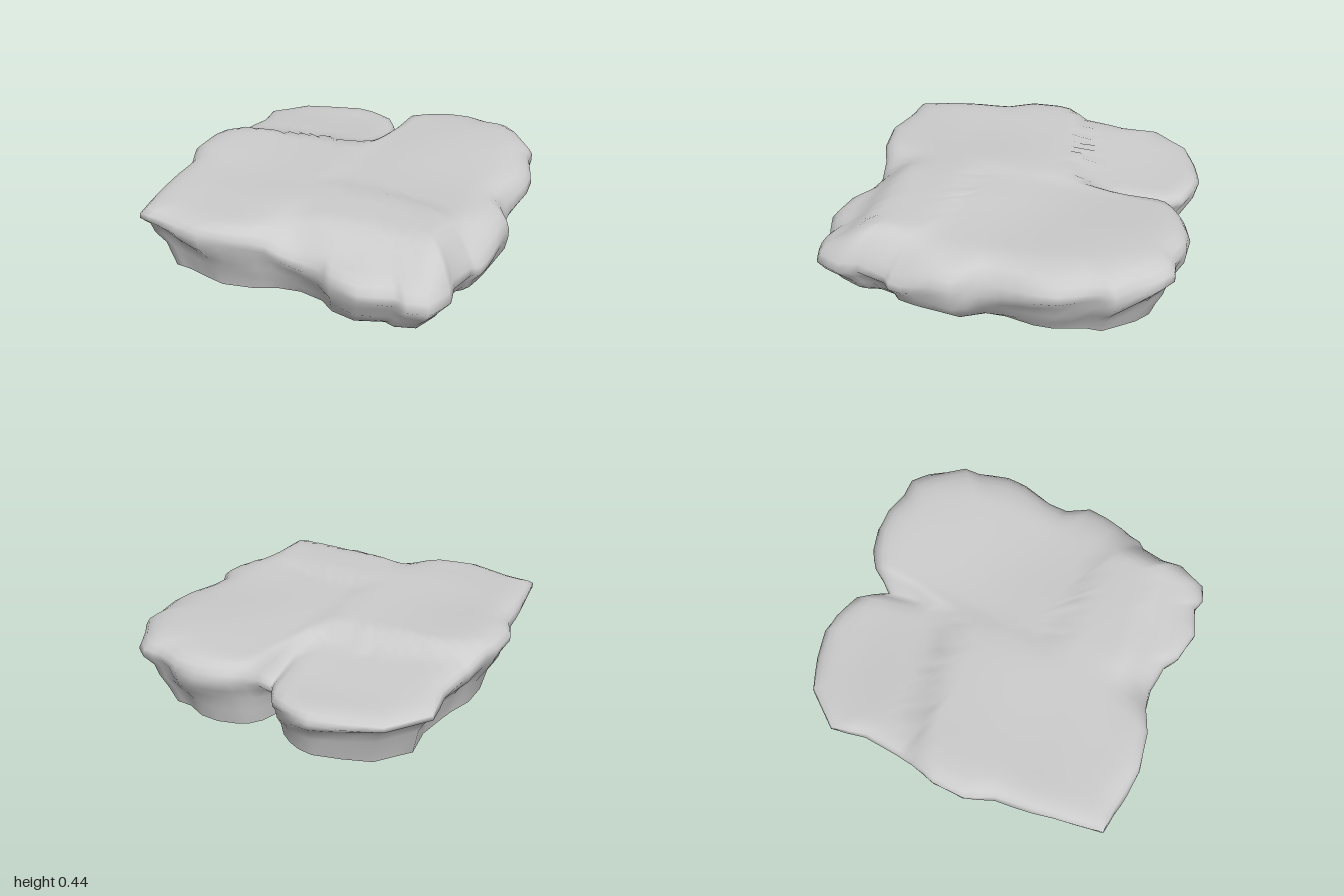
import * as THREE from 'three';

// Widest outline of the slab (x, z), clockwise seen from above, starting at the rear cleft
const OUTLINE = [
  -0.03, -0.82, 0.06, -0.9, 0.17, -0.96, 0.3, -1, 0.43, -1, 0.56, -0.95, 0.67, -0.95, 0.76, -0.88,
  0.9, -0.7, 0.9, -0.6, 0.95, -0.42, 0.95, -0.3, 0.91, -0.12, 0.91, 0, 0.98, 0.13, 0.95, 0.35,
  0.92, 0.48, 0.88, 0.52, 0.84, 0.68, 0.86, 0.79, 0.8, 0.93, 0.7, 0.96, 0.63, 0.94, 0.46, 1,
  0.3, 0.97, 0.2, 0.9, 0.04, 0.87, -0.1, 0.89, -0.24, 0.95, -0.45, 0.99, -0.6, 0.96, -0.72, 0.93,
  -0.84, 0.92, -0.87, 0.78, -0.9, 0.53, -0.91, 0.32, -0.98, 0.16, -0.98, -0.02, -0.93, -0.18,
  -0.91, -0.28, -0.88, -0.48, -0.91, -0.68, -0.75, -0.88, -0.57, -0.95, -0.4, -1, -0.3, -0.99, -0.14, -0.93,
];

// Rings from the base up and inwards: [scale, fraction of top height]
const RINGS = [
  [0.88, 0], [0.91, 0.14], [0.945, 0.32], [0.975, 0.5], [1, 0.68], [0.99, 0.8], [0.965, 0.9],
  [0.925, 0.965], [0.88, 0.99], [0.83, 1], [0.78, 1], [0.73, 1], [0.67, 1], [0.6, 1], [0.52, 1],
  [0.44, 1], [0.36, 1], [0.27, 1], [0.18, 1], [0.09, 1],
];
const BASE_Y = 0.01;
const step = THREE.MathUtils.smoothstep;
const bump = (d, width) => Math.exp(-(d * d) / (width * width));

// Height of the worn top surface
function topHeight(x, z) {
  let h = 0.43 + 0.008 * Math.sin(4 * x + 2 * z) + 0.007 * Math.sin(5 * z - 3 * x + 1);
  h += 0.012 * bump(Math.hypot(x - 0.45, z + 0.65), 0.35);
  h += 0.012 * bump(Math.hypot(x + 0.8, z - 0.12), 0.25);
  // shallow basin right of the middle, and a slope down to the right rim
  h -= 0.018 * bump(Math.hypot(x - 0.45, z - 0.05), 0.35);
  h -= 0.025 * step(x, 0.7, 0.95);
  // lower rear-left lobe, stepping down behind the middle and beside the cleft
  const behind = -z - 0.23 - 0.22 * (x + 0.4);
  const leftOfCleft = 1 - step(x, -0.12 + 0.1 * step(-z, 0.35, 0.6), 0.03);
  h -= (0.06 * step(behind, 0, 0.1) + 0.03 * step(behind, 0.1, 0.6)) * leftOfCleft;
  // front-right ledge wrapping round the corner
  const beyond = Math.max(z - 0.7, (x - 0.74) * step(z, 0.25, 0.5));
  h -= 0.1 * step(beyond, -0.06, 0.16) * step(x, -0.12, 0.08);
  // front-left lobe slopes gently forward
  h -= 0.025 * step(z, 0.5, 0.95) * (1 - step(x, -0.15, 0));
  // rear cleft and shallow front groove
  h -= 0.05 * bump(x + 0.025, 0.045) * step(-z, 0.45, 0.8);
  h -= 0.04 * bump(x + 0.04, 0.09) * step(z, 0.5, 0.85);
  return h;
}

function slabGeometries() {
  const edge = [];
  const count = OUTLINE.length / 2;
  for (let i = 0; i < count; i++) {
    const k = ((i + 1) % count) * 2;
    const [x, z] = [OUTLINE[i * 2], OUTLINE[i * 2 + 1]];
    edge.push([x, z], [(x + OUTLINE[k]) / 2, (z + OUTLINE[k + 1]) / 2]);
  }
  const n = edge.length;
  const positions = [];
  const indices = [];
  RINGS.forEach(([scale, fraction], r) => {
    // the flanks are cut further under than the front and rear
    const undercut = 1 - 0.035 * (1 - fraction) ** 2;
    edge.forEach(([ex, ez]) => {
      // lumps on the sides, fading out at the rim and base
      const side = Math.sin(Math.PI * fraction);
      const lump = 0.012 * side * (Math.sin(9 * ex + 7 * ez + 11 * fraction) - 0.2);
      // the rear cleft cuts deeper towards the base
      const cleft = 0.2 * bump(ex + 0.03, 0.07) * step(-ez, 0.6, 0.8) * (1 - fraction);
      const x = ex * (scale + lump) * undercut;
      const z = ez * (scale + lump) + cleft;
      // the bulge sits high on the left and rear, and low at the right middle and front
      const power = 1 + 0.45 * ex * (ex > 0 ? step(ez, -0.35, 0.1) : 1) - (ez > 0 ? 0.15 : 0.3) * Math.abs(ez);
      positions.push(x, BASE_Y + (topHeight(x, z) - BASE_Y) * fraction ** power, z);
    });
    if (r === 0) return;
    for (let j = 0; j < n; j++) {
      const a = (r - 1) * n + j;
      const b = (r - 1) * n + ((j + 1) % n);
      indices.push(a, a + n, b, b, a + n, b + n);
    }
  });
  const centre = positions.length / 3;
  const last = (RINGS.length - 1) * n;
  positions.push(0, topHeight(0, 0), 0);
  for (let j = 0; j < n; j++) indices.push(last + j, centre, last + ((j + 1) % n));

  const make = (p, idx) => {
    const g = new THREE.BufferGeometry();
    g.setAttribute('position', new THREE.Float32BufferAttribute(p, 3));
    g.setIndex(idx);
    g.computeVertexNormals();
    return g;
  };

  // underside, bulging down slightly to the ground
  const under = positions.slice(0, n * 3).concat([0, 0, 0]);
  const underIndices = [];
  for (let j = 0; j < n; j++) underIndices.push(j, (j + 1) % n, n);
  return [make(positions, indices), make(under, underIndices)];
}

export function createModel() {
  const group = new THREE.Group();
  group.name = 'rockSlab';
  const stone = new THREE.MeshStandardMaterial({ color: 0xcccccc });
  stone.name = 'grey stone';
  const names = ['stoneBody', 'stoneUnderside'];
  slabGeometries().forEach((geometry, i) => {
    const mesh = new THREE.Mesh(geometry, stone);
    mesh.name = names[i];
    group.add(mesh);
  });
  return group;
}
